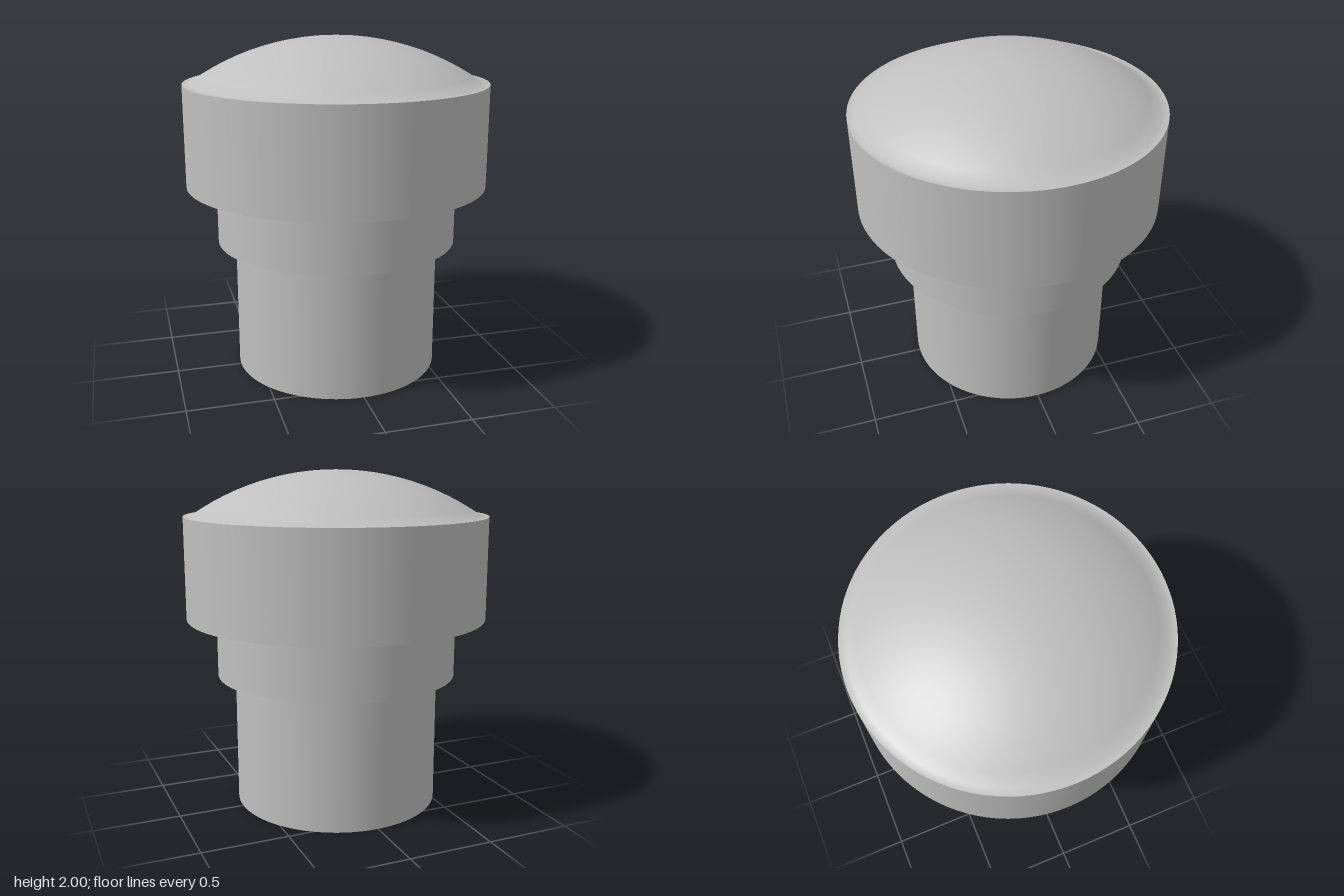
import * as THREE from 'three';

const SEGMENTS = 96;

export function createModel() {
  const model = new THREE.Group();
  model.name = 'domedPlug';
  const grey = new THREE.MeshStandardMaterial({ color: 0xc0c0c0 });
  grey.name = 'plainGrey';

  const add = (parent, name, geometry) => {
    const mesh = new THREE.Mesh(geometry, grey);
    mesh.name = name;
    parent.add(mesh);
    return mesh;
  };

  // One step of the body: a smooth wall and the flat shoulder beneath it
  const addStep = (name, radius, innerRadius, bottom, top) => {
    const step = new THREE.Group();
    step.name = name;
    const wall = new THREE.CylinderGeometry(radius, radius, top - bottom, SEGMENTS, 1, true);
    add(step, name + 'Wall', wall).position.y = (bottom + top) / 2;
    const under = innerRadius > 0
      ? new THREE.RingGeometry(innerRadius, radius, SEGMENTS)
      : new THREE.CircleGeometry(radius, SEGMENTS);
    // Turned so its edge vertices meet those of the wall
    under.rotateX(Math.PI / 2);
    add(step, name + 'Underside', under).position.y = bottom;
    model.add(step);
  };

  addStep('shank', 0.612, 0, 0, 0.787);
  addStep('collar', 0.717, 0.612, 0.787, 1.137);
  addStep('head', 0.893, 0.717, 1.137, 1.737);

  // Shallow spherical dome with a narrow flat ledge around it
  const edge = 0.85, base = 1.737, rise = 2 - base;
  const sphere = (edge * edge + rise * rise) / (2 * rise);
  const sweep = Math.asin(edge / sphere);
  const profile = [new THREE.Vector2(0.893, base)];
  const steps = 12;
  for (let i = steps; i >= 0; i--) {
    const a = sweep * i / steps;
    profile.push(new THREE.Vector2(sphere * Math.sin(a), 2 - sphere * (1 - Math.cos(a))));
  }
  add(model, 'dome', new THREE.LatheGeometry(profile, SEGMENTS));

  return model;
}
